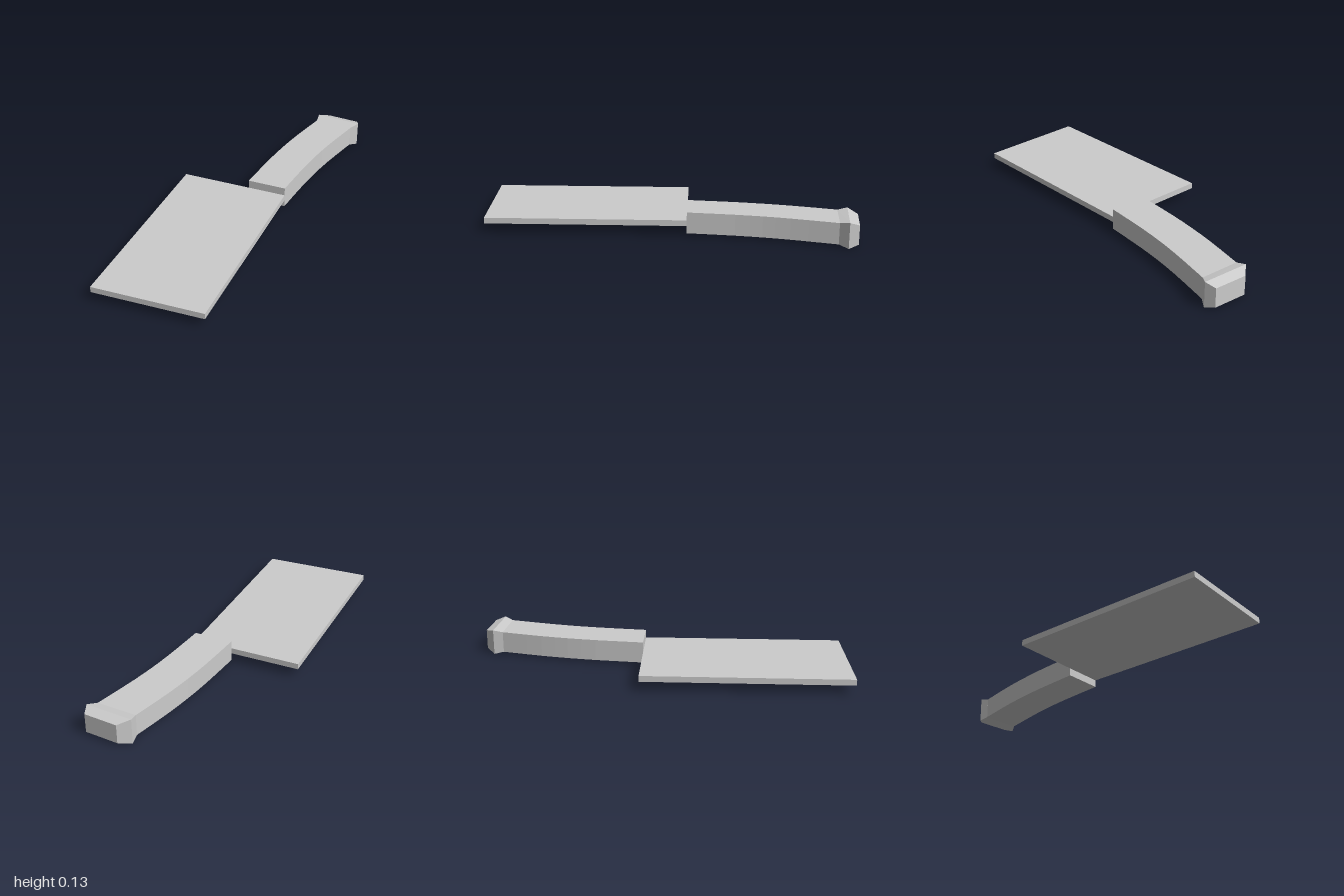
import * as THREE from 'three';

const grey = new THREE.MeshStandardMaterial({ color: 0xcccccc, flatShading: true });

// Plan outline of [x, z] points, raised from y0 to y1
function slab(name, outline, y0, y1, holes = []) {
  const toPoints = list => list.map(([x, z]) => new THREE.Vector2(x, -z));
  const shape = new THREE.Shape(toPoints(outline));
  shape.holes = holes.map(h => new THREE.Path(toPoints(h)));
  const geometry = new THREE.ExtrudeGeometry(shape, { depth: y1 - y0, bevelEnabled: false });
  geometry.rotateX(-Math.PI / 2).translate(0, y0, 0);
  const mesh = new THREE.Mesh(geometry, grey);
  mesh.name = name;
  return mesh;
}

// Smooth line through a few plan points
function curve(points) {
  const spline = new THREE.SplineCurve(points.map(p => new THREE.Vector2(...p)));
  return spline.getPoints(10).map(p => [p.x, p.y]);
}

// Rectangular sections joined front to back: left end, right end, bottom, top
function loft(name, sections) {
  const rings = sections.map(([l, r, y0, y1]) => [
    [l[0], y0, l[1]], [r[0], y0, r[1]], [r[0], y1, r[1]], [l[0], y1, l[1]],
  ]);
  const positions = [];
  const quad = (a, b, c, d) => positions.push(...a, ...b, ...c, ...a, ...c, ...d);
  quad(...rings[0]);
  for (let i = 0; i < rings.length - 1; i++) {
    const a = rings[i], b = rings[i + 1];
    for (let j = 0; j < 4; j++) {
      const k = (j + 1) % 4;
      quad(a[k], a[j], b[j], b[k]);
    }
  }
  const end = rings[rings.length - 1];
  quad(end[3], end[2], end[1], end[0]);
  const geometry = new THREE.BufferGeometry();
  geometry.setAttribute('position', new THREE.Float32BufferAttribute(positions, 3));
  geometry.computeVertexNormals();
  const mesh = new THREE.Mesh(geometry, grey);
  mesh.name = name;
  return mesh;
}

export function createModel() {
  const model = new THREE.Group();
  model.name = 'cleaver';

  // Flat rectangular blade
  model.add(slab('blade', [[-0.403, -0.01], [0.14, -0.155], [0.401, 0.832], [-0.136, 0.997]], 0.051, 0.081));

  // Curved handle, with two shallow rivet recesses in its upper face
  const leftEdge = curve([[-0.055, -0.105], [-0.098, -0.38], [-0.12, -0.62], [-0.126, -0.87]]);
  const rightEdge = curve([[0.076, -0.91], [0.081, -0.64], [0.1, -0.42], [0.14, -0.155]]);
  const outline = [...leftEdge, ...rightEdge];
  const recesses = [[-0.02, -0.621], [-0.003, -0.418]].map(([x, z]) => [
    [x - 0.025, z - 0.012], [x + 0.021, z - 0.022], [x + 0.025, z + 0.012], [x - 0.021, z + 0.022],
  ]);
  const handle = new THREE.Group();
  handle.name = 'handle';
  handle.add(slab('handleCore', outline, 0.013, 0.112));
  handle.add(slab('handleTop', outline, 0.112, 0.123, recesses));
  model.add(handle);

  // Pommel flares out from the handle, then tapers to its end
  model.add(loft('pommel', [
    [[-0.126, -0.865], [0.076, -0.905], 0.013, 0.123],
    [[-0.144, -0.912], [0.095, -0.956], 0.002, 0.134],
    [[-0.106, -0.97], [0.065, -1.0], 0.018, 0.117],
  ]));
  return model;
}
